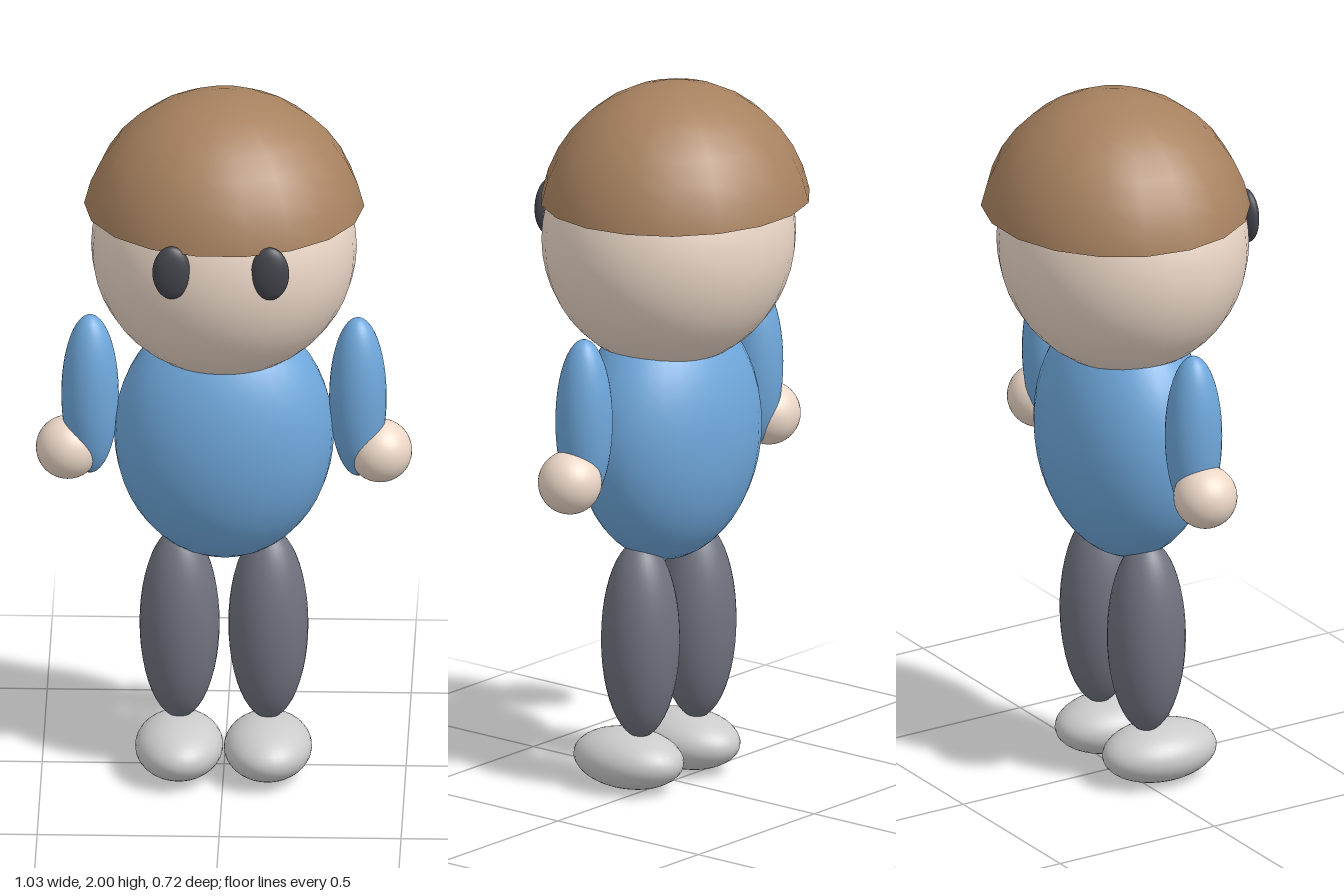
import * as THREE from 'three';

const paint = (color) => new THREE.MeshStandardMaterial({ color });

export function createModel() {
  const model = new THREE.Group();
  const skin = paint(0xecd8c8);
  const shirt = paint(0x6fa8dc);
  const trousers = paint(0x70737f);
  const shoe = paint(0xcccccc);
  const dark = paint(0x44454d);
  const brown = paint(0xa88260);
  brown.side = THREE.DoubleSide;

  // Ellipsoid from its centre and three radii
  function ellipsoid(name, material, centre, radii, segments = 32) {
    const geometry = new THREE.SphereGeometry(1, segments, Math.round(segments * 0.75));
    geometry.scale(...radii);
    const mesh = new THREE.Mesh(geometry, material);
    mesh.name = name;
    mesh.position.set(...centre);
    model.add(mesh);
  }

  ellipsoid('head', skin, [0, 1.565, 0.018], [0.365, 0.365, 0.34]);
  ellipsoid('torso', shirt, [0, 1.003, 0.018], [0.302, 0.364, 0.22]);

  // Hair: an open, faceted cap that overhangs the head
  const cap = new THREE.SphereGeometry(1, 18, 8, 0, Math.PI * 2, 0, Math.PI * 0.44);
  cap.scale(0.392, 0.4, 0.372);
  const hair = new THREE.Mesh(cap, brown);
  hair.name = 'hair';
  hair.position.set(0, 1.6, -0.005);
  model.add(hair);

  // Paired parts
  for (const [side, s] of [['left', 1], ['right', -1]]) {
    ellipsoid(side + 'Eye', dark, [s * 0.135, 1.616, 0.334], [0.053, 0.078, 0.026], 24);
    ellipsoid(side + 'Arm', shirt, [s * 0.368, 1.113, 0.016], [0.079, 0.235, 0.079]);
    ellipsoid(side + 'Hand', skin, [s * 0.429, 0.952, 0.016], [0.088, 0.088, 0.088]);
    ellipsoid(side + 'Leg', trousers, [s * 0.122, 0.432, 0.018], [0.11, 0.282, 0.108]);
    ellipsoid(side + 'Shoe', shoe, [s * 0.122, 0.082, 0.06], [0.121, 0.082, 0.17]);
  }
  return model;
}
